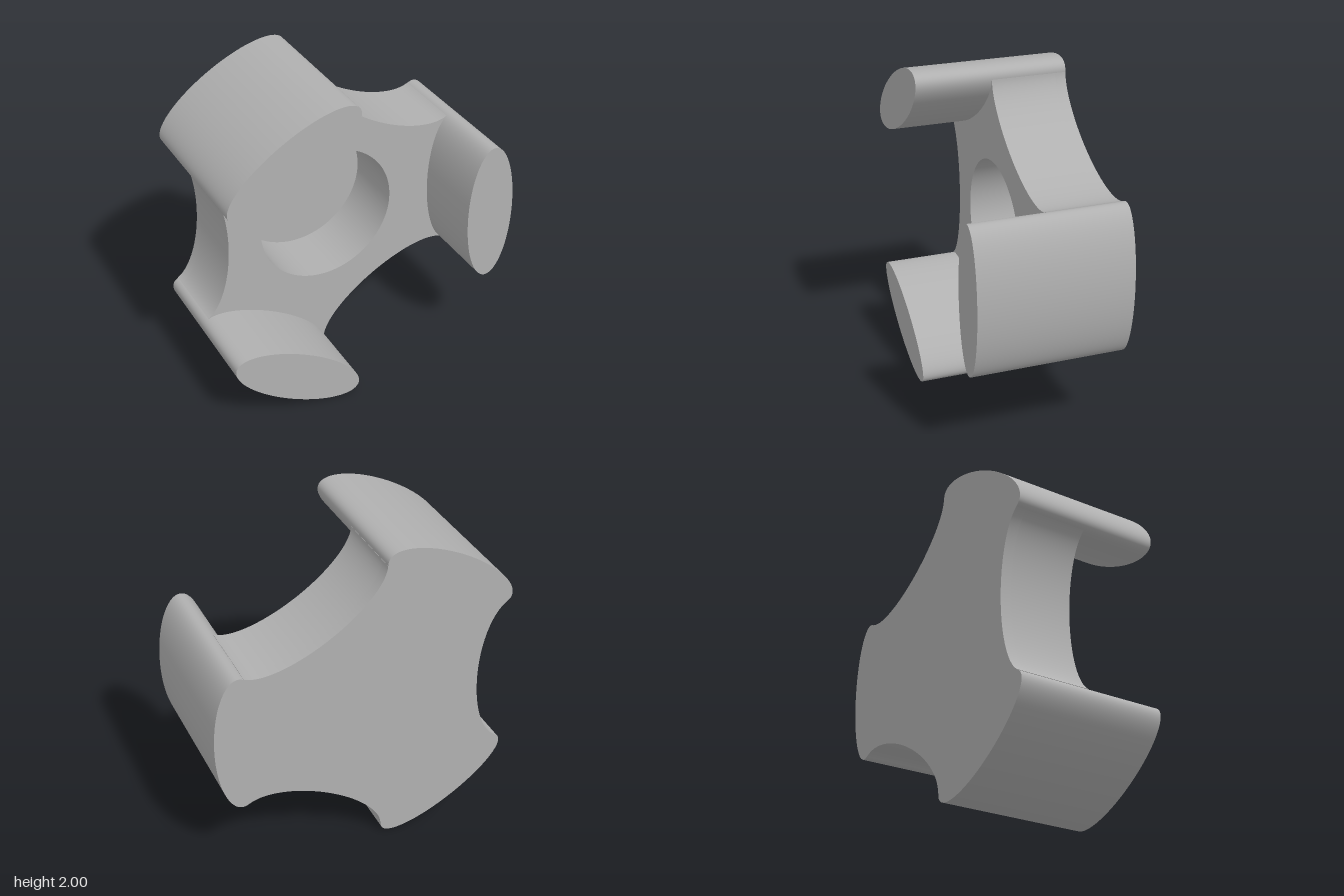
import * as THREE from 'three';
import { toCreasedNormals } from 'three/addons/utils/BufferGeometryUtils.js';

const CX = -0.095, CY = 1;          // hub axis
const BACK = -0.455, FRONT = 0.455; // full depth of the lobes
const FLOOR = -0.39;                // bottom of the round pocket

// Three-armed outline: a concave elliptical scoop between each pair of lobes
function bodyShape() {
  const points = [];
  const steps = 48, a = 0.205, b = 0.5, centre = 0.84;
  const limit = Math.asin(0.485 / b);
  for (let k = 0; k < 3; k++) {
    const dir = Math.PI / 3 + k * Math.PI * 2 / 3;
    for (let i = 0; i <= steps; i++) {
      const t = -limit + 2 * limit * i / steps;
      const u = centre - a * Math.cos(t), v = b * Math.sin(t);
      points.push(new THREE.Vector2(
        u * Math.cos(dir) - v * Math.sin(dir),
        u * Math.sin(dir) + v * Math.cos(dir)));
    }
  }
  return new THREE.Shape(points);
}

function slab(shape, z0, z1) {
  const geometry = new THREE.ExtrudeGeometry(shape, {
    depth: z1 - z0, bevelEnabled: false, curveSegments: 64,
  });
  geometry.translate(0, 0, z0);
  return toCreasedNormals(geometry, Math.PI / 6);
}

export function createModel() {
  const group = new THREE.Group();
  group.name = 'threeLobedKnob';
  const grey = new THREE.MeshStandardMaterial({ color: 0xb0b0b0 });
  grey.name = 'grey';

  const add = (name, geometry) => {
    const mesh = new THREE.Mesh(geometry, grey);
    mesh.name = name;
    mesh.position.set(CX, CY, 0);
    group.add(mesh);
    return mesh;
  };

  // Hub with a round pocket, closed by a back plate
  const ring = bodyShape();
  ring.holes.push(new THREE.Path().absarc(0, 0, 0.43, 0, Math.PI * 2, true));
  add('hub', slab(ring, FLOOR, 0));
  add('backPlate', slab(bodyShape(), BACK, FLOOR));

  // Elliptical lobes running the full depth
  const lobe = new THREE.CylinderGeometry(1, 1, FRONT - BACK, 96);
  lobe.rotateX(Math.PI / 2);
  lobe.scale(0.155, 0.452, 1);
  lobe.translate(0.852, 0, 0);
  ['leftLobe', 'upperRightLobe', 'lowerRightLobe'].forEach((name, k) => {
    add(name, lobe).rotation.z = k * Math.PI * 2 / 3;
  });

  return group;
}
